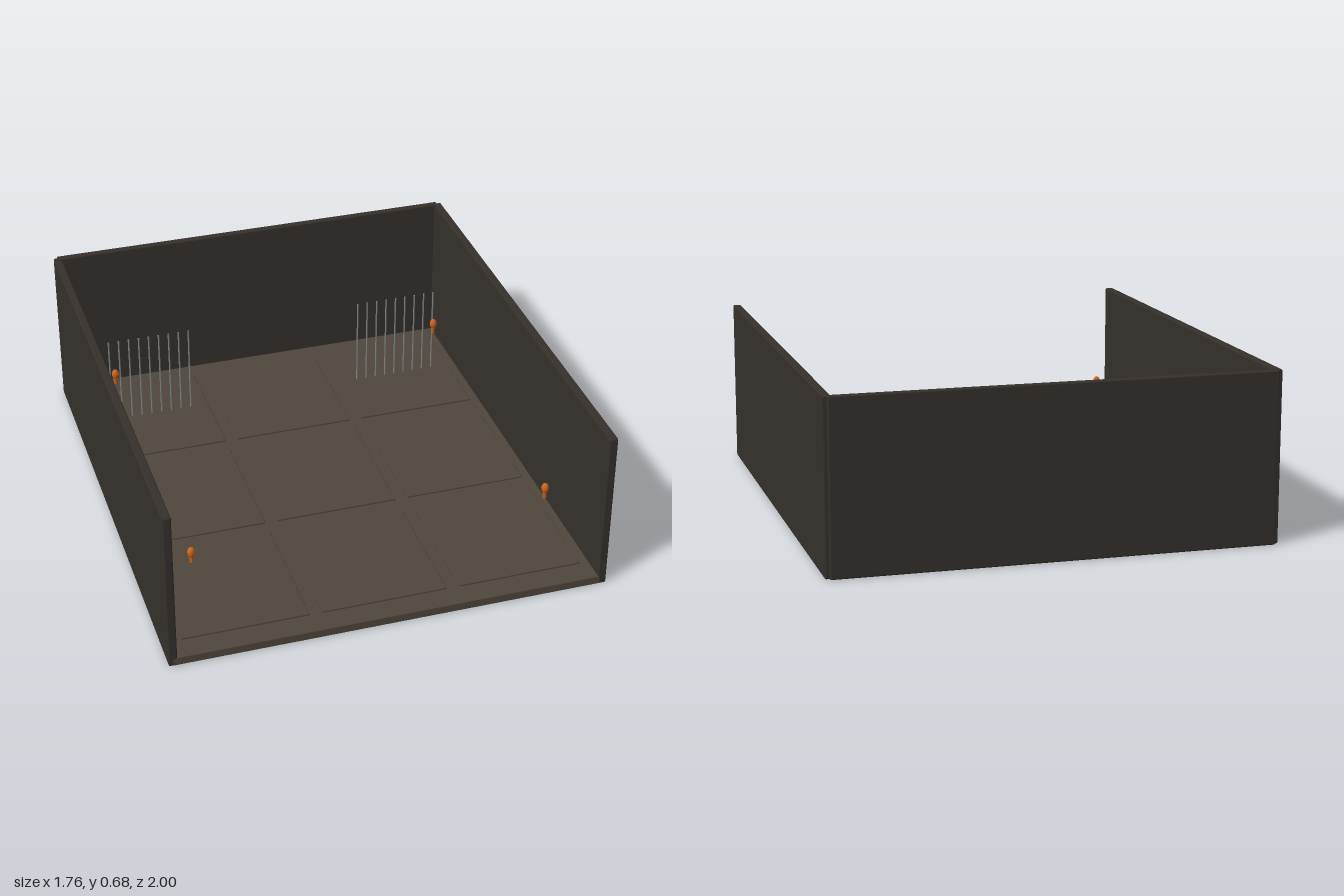
import * as THREE from 'three';
import { RoundedBoxGeometry } from 'three/addons/geometries/RoundedBoxGeometry.js';

const mat = (color, flatShading = false) => {
  const m = new THREE.MeshStandardMaterial({ color });
  m.flatShading = flatShading;
  return m;
};

export function createModel() {
  const room = new THREE.Group();
  room.name = 'room';
  const wallMat = mat(0x35302b);
  const floorMat = mat(0x4f463c);
  const barMat = mat(0x7d8584);
  const flameMat = mat(0xc8641e, true);

  const add = (parent, name, geometry, material, x, y, z) => {
    const mesh = new THREE.Mesh(geometry, material);
    mesh.name = name;
    mesh.position.set(x, y, z);
    parent.add(mesh);
    return mesh;
  };
  const block = (w, h, d, r) => new RoundedBoxGeometry(w, h, d, 2, r);

  // Shell: floor plate, back wall and two side walls, open to the front
  add(room, 'floor', block(1.74, 0.036, 1.98, 0.004), floorMat, 0, 0.018, 0.01);
  add(room, 'backWall', block(1.73, 0.68, 0.03, 0.006), wallMat, 0, 0.34, -0.985);
  for (const s of [-1, 1]) {
    add(room, s > 0 ? 'leftWall' : 'rightWall', block(0.034, 0.68, 1.985, 0.006), wallMat, s * 0.865, 0.34, 0.0075);
  }

  // Three by three grid of raised floor slabs
  const slabs = new THREE.Group();
  slabs.name = 'floorSlabs';
  room.add(slabs);
  const slabGeo = block(0.506, 0.016, 0.556, 0.004);
  for (const x of [-0.557, 0, 0.557]) {
    for (const z of [-0.615, 0.005, 0.625]) add(slabs, 'slab', slabGeo, floorMat, x, 0.036, z);
  }

  // A row of thin vertical bars on each side
  const barGeo = new THREE.CylinderGeometry(0.0035, 0.0035, 0.39, 8);
  for (const s of [-1, 1]) {
    const row = new THREE.Group();
    row.name = s > 0 ? 'leftBars' : 'rightBars';
    room.add(row);
    for (let i = 0; i < 9; i++) add(row, 'bar', barGeo, barMat, s * (0.382 + i * 0.0436), 0.236, -0.637);
  }

  // Four small torches near the side walls
  const stemGeo = new THREE.CylinderGeometry(0.011, 0.007, 0.05, 8);
  const flameGeo = new THREE.IcosahedronGeometry(0.0155, 1).scale(1, 1.5, 1);
  for (const s of [-1, 1]) {
    for (const z of [-0.588, 0.727]) {
      const torch = new THREE.Group();
      torch.name = 'torch';
      torch.position.set(s * 0.718, 0.255, z);
      add(torch, 'stem', stemGeo, flameMat, 0, 0.025, 0);
      add(torch, 'flame', flameGeo, flameMat, 0, 0.047, 0);
      room.add(torch);
    }
  }
  return room;
}
